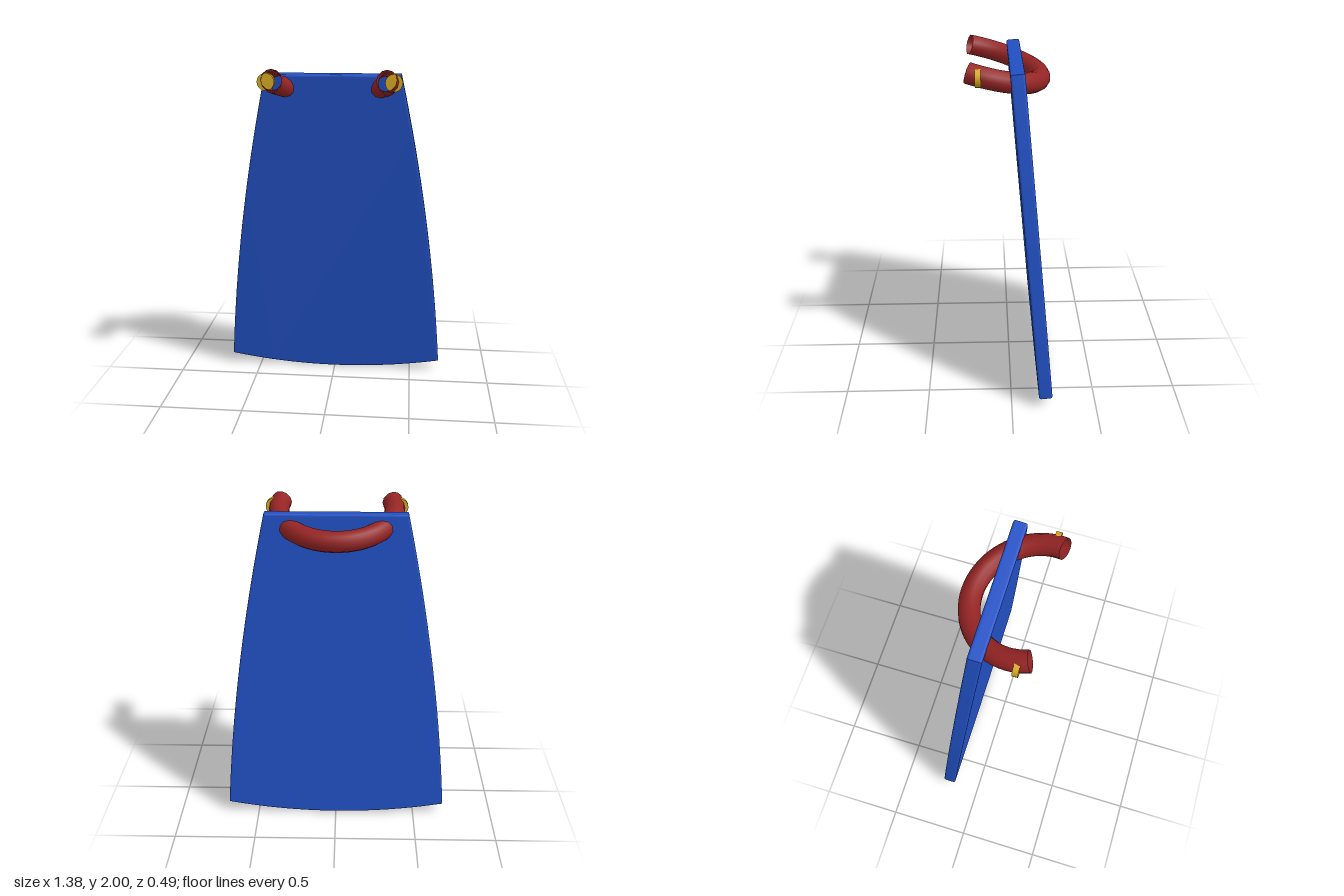
import * as THREE from 'three';
import { toCreasedNormals } from 'three/addons/utils/BufferGeometryUtils.js';

const blue = new THREE.MeshStandardMaterial({ color: 0x2251c5 });
blue.name = 'capeBlue';
const red = new THREE.MeshStandardMaterial({ color: 0x962424, side: THREE.DoubleSide });
red.name = 'collarRed';
const gold = new THREE.MeshStandardMaterial({ color: 0xd9ab22 });
gold.name = 'claspGold';

function addMesh(group, name, geometry, material) {
  const mesh = new THREE.Mesh(geometry, material);
  mesh.name = name;
  group.add(mesh);
  return mesh;
}

export function createModel() {
  const model = new THREE.Group();
  model.name = 'cape';

  // Cloth: flared slab with bowed sides and hem, bevelled and leaning back
  const outline = new THREE.Shape();
  outline.moveTo(-0.405, 0.977);
  outline.quadraticCurveTo(-0.62, 0.04, -0.69, -0.912);
  outline.quadraticCurveTo(0, -1.042, 0.69, -0.912);
  outline.quadraticCurveTo(0.62, 0.04, 0.405, 0.977);
  outline.closePath();
  const bevel = 0.012;
  const thickness = 0.08;
  const clothGeometry = new THREE.ExtrudeGeometry(outline, {
    depth: thickness - 2 * bevel,
    bevelThickness: bevel,
    bevelSize: bevel,
    bevelOffset: -bevel,
    bevelSegments: 3,
    curveSegments: 20,
  });
  clothGeometry.translate(0, 0, bevel - thickness / 2);
  const cloth = addMesh(model, 'cloth', toCreasedNormals(clothGeometry, 0.2), blue);
  cloth.rotation.x = THREE.MathUtils.degToRad(5);
  cloth.position.set(0, 0.98, -0.121);

  // Collar: open-ended tube bent a little past a half circle, front raised
  const overhang = THREE.MathUtils.degToRad(15);
  const collarGeometry = new THREE.TorusGeometry(0.335, 0.06, 12, 40, Math.PI + 2 * overhang);
  collarGeometry.rotateZ(-overhang);
  collarGeometry.rotateX(-Math.PI / 2 - THREE.MathUtils.degToRad(15));
  addMesh(model, 'collar', collarGeometry, red).position.set(0, 1.92, 0.144);

  // Clasps: a disc set into each end of the collar
  const claspGeometry = new THREE.CylinderGeometry(0.05, 0.05, 0.032, 20);
  claspGeometry.rotateX(Math.PI / 2);
  for (const side of [-1, 1]) {
    const name = side > 0 ? 'leftClasp' : 'rightClasp';
    addMesh(model, name, claspGeometry, gold).position.set(side * 0.365, 1.925, 0.174);
  }

  return model;
}
